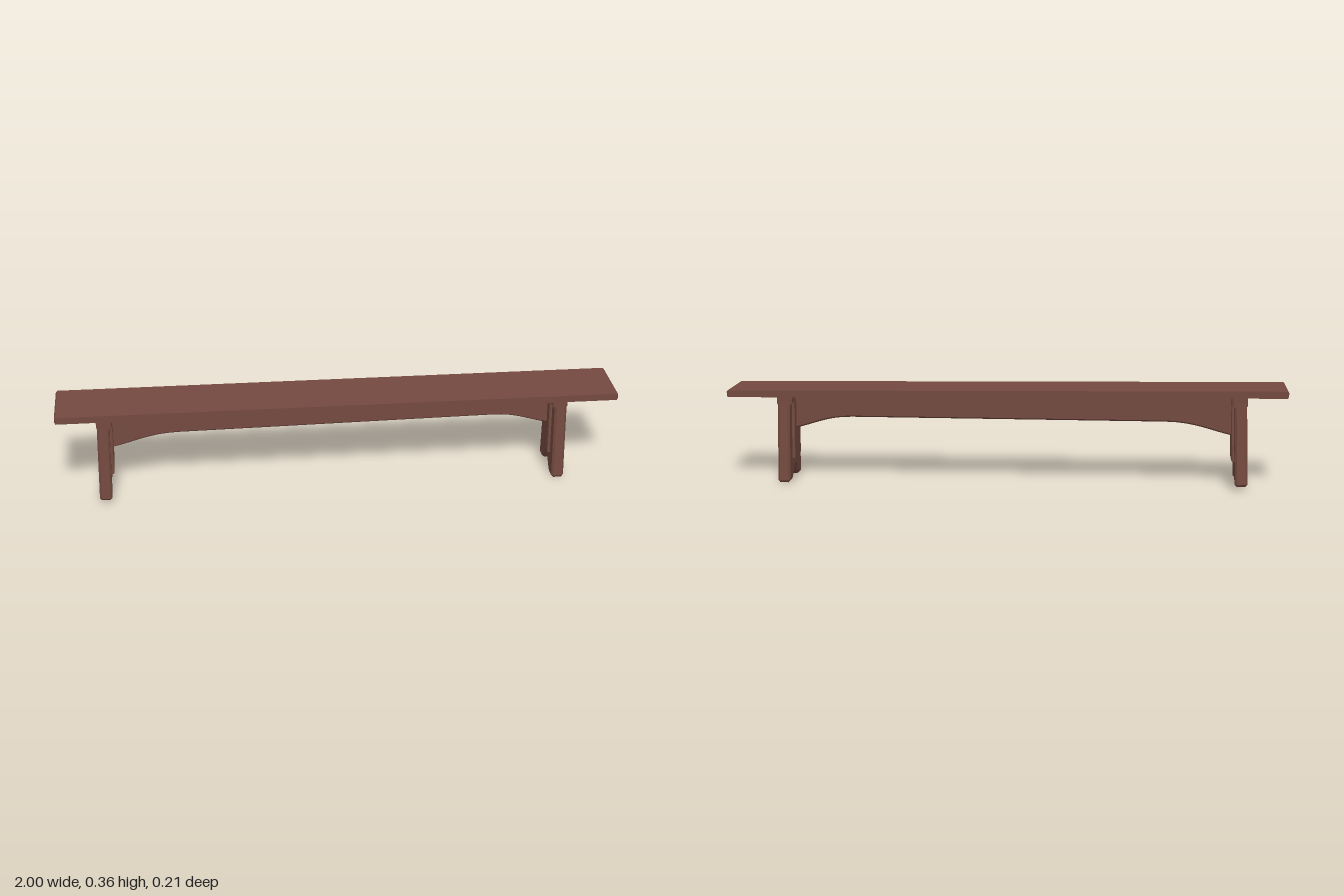
import * as THREE from 'three';

export function createModel() {
  const bench = new THREE.Group();
  bench.name = 'bench';
  const wood = new THREE.MeshStandardMaterial({ color: 0x744a40 });
  wood.name = 'brown wood';

  // Plank cut from an outline, centred on its thickness, with chamfered edges
  function plank(name, shape, thickness, chamfer) {
    const geometry = new THREE.ExtrudeGeometry(shape, {
      depth: thickness - 2 * chamfer, curveSegments: 8,
      bevelThickness: chamfer, bevelSize: chamfer, bevelOffset: -chamfer, bevelSegments: 1,
    });
    geometry.translate(0, 0, chamfer - thickness / 2);
    const mesh = new THREE.Mesh(geometry, wood);
    mesh.name = name;
    return mesh;
  }
  const outline = (points) => new THREE.Shape(points.map(([x, y]) => new THREE.Vector2(x, y)));
  const rectangle = (w, h) => outline([[-w / 2, -h / 2], [w / 2, -h / 2], [w / 2, h / 2], [-w / 2, h / 2]]);

  // Seat board, sagging slightly towards one end
  const seat = plank('seat', rectangle(0.208, 0.025), 2, 0.005);
  seat.rotation.y = Math.PI / 2;
  const seatTilt = new THREE.Group();
  seatTilt.name = 'seatBoard';
  seatTilt.add(seat);
  seatTilt.position.y = 0.336;
  seatTilt.rotation.z = -0.0118;
  bench.add(seatTilt);

  // Long apron with a curved drop at both ends
  const apronShape = new THREE.Shape();
  apronShape.moveTo(-0.815, 0.342);
  apronShape.lineTo(-0.815, 0.183);
  apronShape.bezierCurveTo(-0.73, 0.2, -0.68, 0.23, -0.57, 0.23);
  apronShape.lineTo(0.56, 0.23);
  apronShape.bezierCurveTo(0.66, 0.23, 0.7, 0.2, 0.785, 0.183);
  apronShape.lineTo(0.785, 0.322);
  bench.add(plank('apron', apronShape, 0.034, 0.005));

  // Tapered leg board with an arch cut into the foot
  const halfFoot = [[0.058, 0.001], [0.047, 0.006], [0.036, 0.017], [0.021, 0.036], [0.011, 0.045], [0, 0.048]];
  const halfLeg = [[0.084, 0.315], [0.1, 0.008], [0.094, 0], [0.068, 0], ...halfFoot];
  const mirrored = halfLeg.slice(0, -1).reverse().map(([x, y]) => [-x, y]);
  const legShape = outline([...halfLeg, ...mirrored]);
  const panelShape = outline([[-0.052, 0.082], [0.052, 0.082], [0.046, 0.3], [-0.046, 0.3]]);

  // side: -1 or 1 end, x and y of the foot, lean about z
  function addLeg(side, x, y, lean) {
    const leg = new THREE.Group();
    leg.name = side < 0 ? 'rightLeg' : 'leftLeg';
    const board = plank('legBoard', legShape, 0.044, 0.007);
    const panel = plank('innerPanel', panelShape, 0.02, 0.003);
    const cap = plank('legCap', rectangle(0.17, 0.04), 0.055, 0.004);
    for (const part of [board, panel, cap]) part.rotation.y = Math.PI / 2;
    panel.position.x = -side * 0.022;
    cap.position.set(-side * 0.003, 0.304, 0);
    leg.add(board, panel, cap);
    leg.position.set(x, y, 0);
    leg.rotation.z = lean;
    bench.add(leg);
  }
  addLeg(-1, -0.843, 0.014, -0.028);
  addLeg(1, 0.799, 0, 0.006);

  return bench;
}
